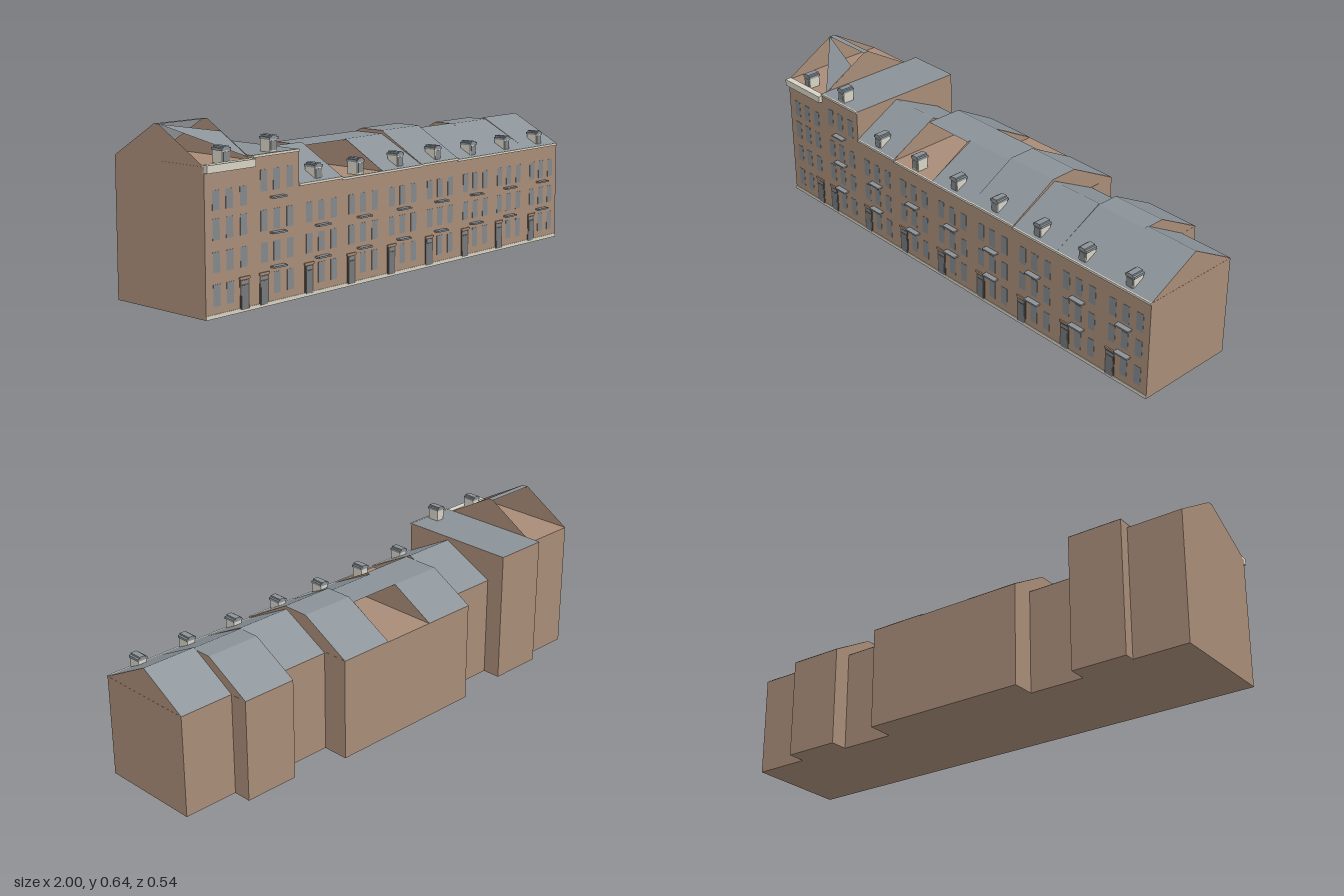
import * as THREE from 'three';

const mat = (name, color, side = THREE.FrontSide) => {
  const m = new THREE.MeshStandardMaterial({ color, side });
  m.name = name;
  return m;
};

const FRONT = 0.246, W = 2 / 9;

// One entry per house, left to right along x: back wall z, eave height,
// ridge height, ridge front z and ridge back z, and which slopes exist.
const HOUSES = [
  { back: -0.207, eave: 0.515, top: 0.638, rf: 0.025, rb: 0.0, front: false, rear: false },
  { back: -0.25, eave: 0.53, flat: true },
  { back: -0.176, eave: 0.408, top: 0.515, rf: 0.045, rb: 0.04 },
  { back: -0.27, eave: 0.403, top: 0.505, rf: 0.063, rb: -0.09, front: false },
  { back: -0.27, eave: 0.403, top: 0.505, rf: 0.045, rb: -0.09, rear: false },
  { back: -0.27, eave: 0.405, top: 0.518, rf: 0.045, rb: -0.065 },
  { back: -0.164, eave: 0.4, top: 0.507, rf: 0.04, rb: 0.035 },
  { back: -0.237, eave: 0.4, top: 0.505, rf: 0.038, rb: -0.05 },
  { back: -0.164, eave: 0.4, top: 0.511, rf: 0.032, rb: 0.028 },
];

export function createModel() {
  const brick = mat('brick', 0xa88c78, THREE.DoubleSide);
  const slate = mat('slate', 0x8a9298, THREE.DoubleSide);
  const glass = mat('window glass', 0x83888b);
  const stone = mat('pale stone', 0xd6d2c4);
  const doorPaint = mat('door paint', 0x74797c);
  const frame = mat('door frame', 0x5c5148);
  const model = new THREE.Group();
  model.name = 'terrace';

  const add = (parent, name, geometry, material) => {
    const m = new THREE.Mesh(geometry, material);
    m.name = name;
    parent.add(m);
    return m;
  };
  // Box given by its lower and upper limits
  const box = (parent, name, material, x0, x1, y0, y1, z0, z1) => {
    const m = add(parent, name, new THREE.BoxGeometry(x1 - x0, y1 - y0, z1 - z0), material);
    m.position.set((x0 + x1) / 2, (y0 + y1) / 2, (z0 + z1) / 2);
    return m;
  };
  // Flat polygon from corners listed anticlockwise
  const face = (parent, name, material, pts) => {
    const g = new THREE.BufferGeometry();
    g.setAttribute('position', new THREE.Float32BufferAttribute(pts.flat(), 3));
    const index = [];
    for (let i = 1; i < pts.length - 1; i++) index.push(0, i, i + 1);
    g.setIndex(index);
    g.computeVertexNormals();
    return add(parent, name, g, material);
  };

  HOUSES.forEach((h, i) => {
    const x0 = -1 + i * W, x1 = x0 + W, mid = x0 + W / 2;
    const house = new THREE.Group();
    house.name = `house${i + 1}`;
    model.add(house);

    // Walls, with the attic floor as the top of the block
    box(house, 'walls', brick, x0, x1, 0, h.eave - 0.001, h.back, FRONT);

    // Roof and party-wall gables
    if (h.flat) {
      face(house, 'flatRoof', slate, [[x0, h.eave, FRONT], [x1, h.eave, FRONT], [x1, h.eave, h.back], [x0, h.eave, h.back]]);
    } else {
      for (const x of [x0 + 0.0005, x1 - 0.0005]) {
        face(house, 'gable', brick, [
          [x, h.eave - 0.001, FRONT], [x, h.eave - 0.001, h.back], [x, h.top, h.rb], [x, h.top, h.rf],
        ].reverse());
      }
      face(house, 'ridge', slate, [[x0, h.top, h.rf], [x1, h.top, h.rf], [x1, h.top, h.rb], [x0, h.top, h.rb]]);
      if (h.front !== false)
        face(house, 'frontSlope', slate, [[x0, h.eave, FRONT], [x1, h.eave, FRONT], [x1, h.top, h.rf], [x0, h.top, h.rf]]);
      if (h.rear !== false)
        face(house, 'rearSlope', slate, [[x1, h.eave, h.back], [x0, h.eave, h.back], [x0, h.top, h.rb], [x1, h.top, h.rb]]);
    }
    // Surviving triangle of roof on the end house
    if (i === 0)
      face(house, 'roofFragment', slate, [[x0, 0.638, 0.025], [x1, 0.522, 0.225], [x1, 0.6, 0.09]]);

    // Plinth and cornice
    box(house, 'plinth', stone, x0, x1, 0, 0.014, FRONT, FRONT + 0.002);
    if (i === 0) box(house, 'cornice', stone, x0, x1, 0.493, 0.52, 0.235, 0.262);
    else box(house, 'cornice', stone, x0, x1, h.eave - 0.008, h.eave + 0.001, FRONT - 0.002, FRONT + 0.004);

    // Windows and door
    const bays = [-0.061, 0, 0.065].map((d) => mid + d);
    const doorBay = i === 0 ? 2 : 0;
    const doorX = i === 0 ? -0.823 : bays[0] - 0.003;
    const rows = [[0.04, 0.115], [0.155, 0.225], [0.265, 0.337]];
    if (i === 0) rows.push([0.365, 0.432]);
    if (i === 1) rows.push([0.402, 0.477]);
    rows.forEach(([y0, y1], r) => bays.forEach((x, b) => {
      if (r === 0 && b === doorBay) return;
      box(house, 'window', glass, x - 0.016, x + 0.016, y0, y1, FRONT - 0.002, FRONT + 0.001);
    }));
    box(house, 'doorFrame', frame, doorX - 0.022, doorX + 0.022, 0.008, 0.116, FRONT - 0.002, FRONT + 0.002);
    box(house, 'door', doorPaint, doorX - 0.016, doorX + 0.016, 0.01, 0.092, FRONT, FRONT + 0.003);
    box(house, 'fanlight', glass, doorX - 0.016, doorX + 0.016, 0.097, 0.109, FRONT, FRONT + 0.003);
    box(house, 'doorHead', brick, doorX - 0.024, doorX + 0.024, 0.114, 0.122, FRONT, FRONT + 0.005);

    // Balcony ledges under the middle windows
    const ledges = i === 0 ? [] : i === 1 ? [0.135, 0.255, 0.378] : [0.135, 0.25];
    for (const y of ledges)
      box(house, 'ledge', slate, mid - 0.032, mid + 0.032, y - 0.003, y + 0.003, FRONT - 0.002, 0.268);

    // Dormer: pale cheeks, slate cap, small pane
    const base = i === 0 ? 0.512 : h.eave - 0.002, rise = base + (i > 1 ? 0.047 : 0.045);
    box(house, 'dormer', stone, mid - 0.018, mid + 0.018, base, rise, 0.186, 0.233);
    box(house, 'dormerPane', glass, mid - 0.013, mid + 0.013, base + 0.008, rise - 0.004, 0.232, 0.235);
    box(house, 'dormerCap', slate, mid - 0.021, mid + 0.021, rise, rise + 0.009, 0.184, 0.236);
    box(house, 'dormerCapTop', slate, mid - 0.012, mid + 0.012, rise + 0.009, rise + 0.015, 0.184, 0.236);
  });

  return model;
}
